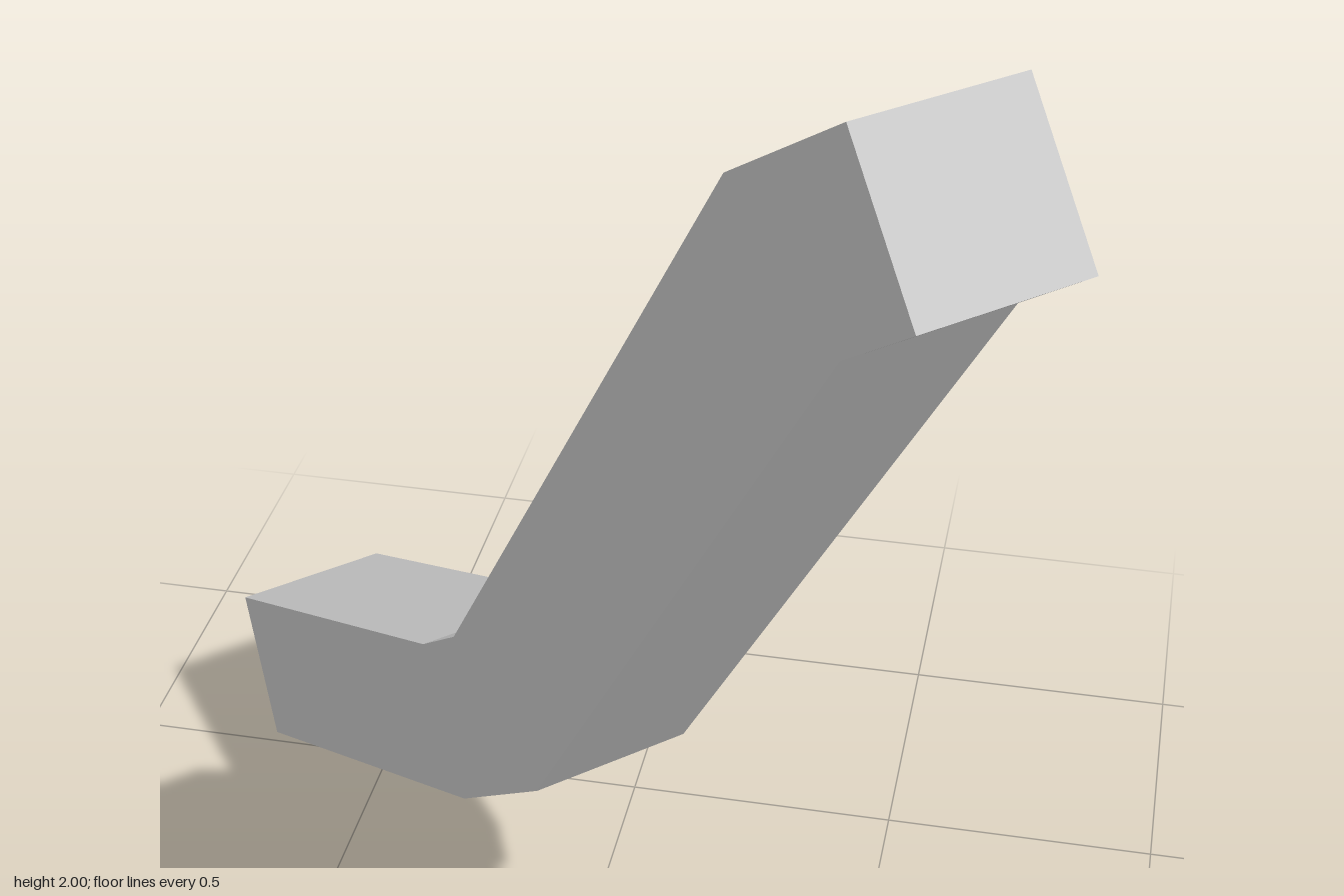
import * as THREE from 'three';

export function createModel() {
  const group = new THREE.Group();
  const width = 0.3;

  // Side profile of the bent beam: [distance along the diagonal / sqrt 2, height]
  const profile = [
    [-0.634, 0], [-0.107, 0.31], [0.067, 0.484], [0.603, 1.665], [0.708, 1.77],
    [0.594, 2], [0.412, 1.828], [-0.123, 0.645], [-0.2, 0.567], [-0.709, 0.266],
  ].map(([u, y]) => new THREE.Vector2(u * Math.SQRT2, y));

  const geometry = new THREE.ExtrudeGeometry(new THREE.Shape(profile), {
    depth: width, bevelEnabled: false,
  });
  geometry.translate(0, 0, -width / 2);

  // The beam runs diagonally, rising from back right to front left
  const beam = new THREE.Mesh(
    geometry,
    new THREE.MeshStandardMaterial({ color: 0xcccccc, flatShading: true }),
  );
  beam.name = 'bentBeam';
  beam.rotation.y = -Math.PI / 4;
  group.add(beam);
  return group;
}
